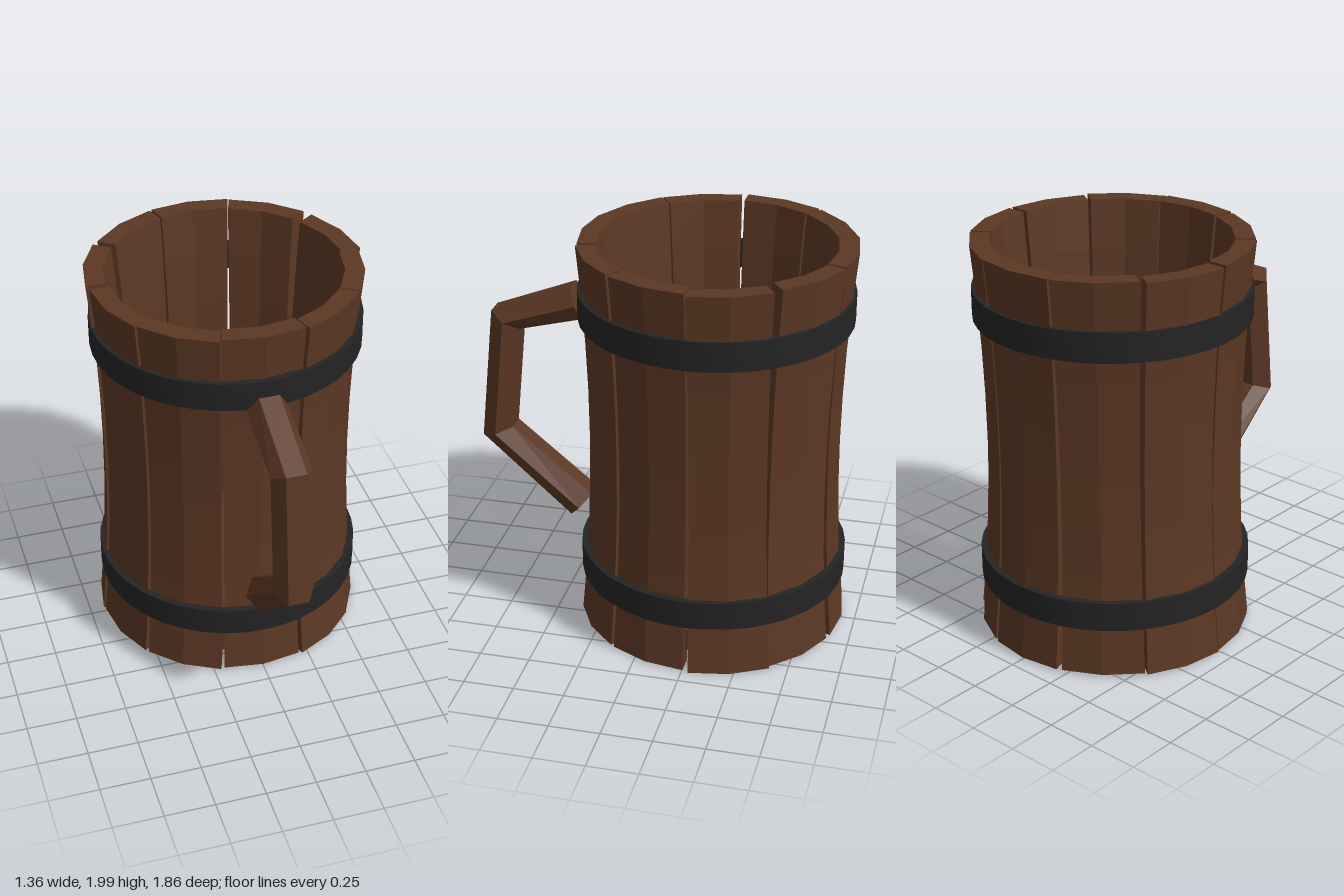
import * as THREE from 'three';
import { toCreasedNormals } from 'three/addons/utils/BufferGeometryUtils.js';

const CENTRE_Z = -0.26;
const STAVES = 10;

// Gives every face its own flat normal
function facet(geometry) {
  const flat = geometry.index ? geometry.toNonIndexed() : geometry;
  flat.computeVertexNormals();
  return flat;
}

// One curved plank: a box bent round the axis and pinched at mid height
function staveGeometry() {
  const g = new THREE.BoxGeometry(1, 1, 1, 2, 8, 1);
  const p = g.attributes.position;
  const arc = (Math.PI * 2) / STAVES - 0.026;
  for (let i = 0; i < p.count; i++) {
    const a = p.getX(i) * arc;
    const t = p.getY(i) * 2;
    const r = 0.57 + 0.052 * t * t + p.getZ(i) * 0.096;
    p.setXYZ(i, Math.sin(a) * r, t * 0.987, Math.cos(a) * r);
  }
  return facet(g);
}

// Flat iron ring
function hoopGeometry(y0, y1) {
  const outer = 0.666, inner = 0.632;
  const profile = [[outer, y0], [outer, y1], [inner, y1], [inner, y0], [outer, y0]]
    .map(([r, y]) => new THREE.Vector2(r, y));
  return toCreasedNormals(new THREE.LatheGeometry(profile, 40), 0.6);
}

// Six-sided bar swept through mitred sections: [outer z, outer y, inner z, inner y]
function handleGeometry() {
  const sections = [
    [0.45, 1.705, 0.395, 1.545],
    [0.86, 1.545, 0.72, 1.46],
    [0.93, 0.858, 0.773, 0.915],
    [0.475, 0.452, 0.365, 0.58],
  ];
  const ring = [[0.05, 0], [0.1, 0.5], [0.05, 1], [-0.05, 1], [-0.1, 0.5], [-0.05, 0]];
  const positions = [];
  const index = [];
  sections.forEach(([oz, oy, iz, iy], k) => {
    ring.forEach(([x, t], j) => {
      positions.push(x, oy + (iy - oy) * t, oz + (iz - oz) * t);
      if (k === sections.length - 1) return;
      const a = k * 6 + j, b = k * 6 + (j + 1) % 6;
      index.push(a, a + 6, b, b, a + 6, b + 6);
    });
  });
  const last = (sections.length - 1) * 6;
  for (let j = 1; j < 5; j++) {
    index.push(0, j, j + 1, last, last + j + 1, last + j);
  }
  const g = new THREE.BufferGeometry();
  g.setAttribute('position', new THREE.Float32BufferAttribute(positions, 3));
  g.setIndex(index);
  return facet(g);
}

export function createModel() {
  const wood = new THREE.MeshStandardMaterial({ color: 0x5c3824 });
  wood.name = 'brown wood';
  const iron = new THREE.MeshStandardMaterial({ color: 0x242424 });
  iron.name = 'dark iron';

  const model = new THREE.Group();
  model.name = 'tankard';
  const barrel = new THREE.Group();
  barrel.name = 'barrel';
  barrel.position.z = CENTRE_Z;
  model.add(barrel);

  const add = (parent, name, geometry, material) => {
    const mesh = new THREE.Mesh(geometry, material);
    mesh.name = name;
    parent.add(mesh);
    return mesh;
  };

  // Staves, each slightly out of line: [outward shift, height shift, sideways lean]
  const wobble = [
    [-0.008, 0.008, 0], [0, 0.003, 0.003], [-0.004, -0.001, 0.002], [0.008, -0.004, 0.012],
    [0.002, 0.003, -0.012], [0.004, 0.005, 0.002], [0, 0.005, 0.01], [0.01, 0.002, 0.002],
    [0, 0.001, -0.008], [-0.002, 0.002, -0.002],
  ];
  const plank = staveGeometry();
  wobble.forEach(([out, lift, lean], i) => {
    const pivot = new THREE.Group();
    pivot.name = `stavePivot${i + 1}`;
    pivot.rotation.y = (i / STAVES) * Math.PI * 2;
    const stave = add(pivot, `stave${i + 1}`, plank, wood);
    stave.position.set(0, 1 + lift, out);
    stave.rotation.z = lean;
    barrel.add(pivot);
  });

  // Floor disc let into the staves
  const floor = add(barrel, 'floor', toCreasedNormals(new THREE.CylinderGeometry(0.6, 0.6, 0.12, 32), 0.6), wood);
  floor.position.y = 0.147;

  // Iron hoops
  add(barrel, 'lowerHoop', hoopGeometry(0.257, 0.402), iron);
  add(barrel, 'upperHoop', hoopGeometry(1.615, 1.76), iron);

  // Handle
  add(model, 'handle', handleGeometry(), wood);

  return model;
}
